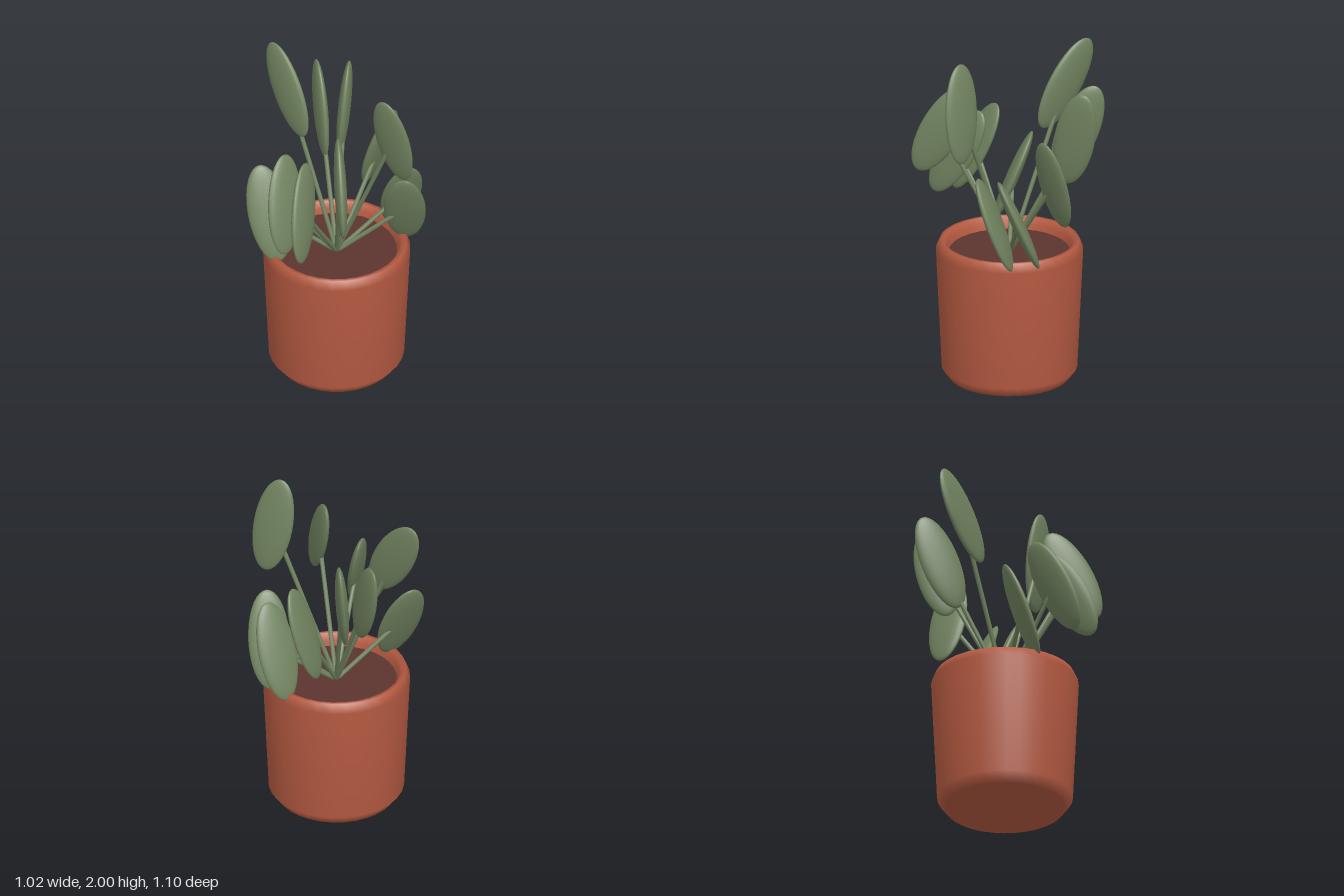
import * as THREE from 'three';

const material = (color) => new THREE.MeshStandardMaterial({ color });

const POT = material(0xb55a41);
const SOIL = material(0x5c352e);
const LEAF = material(0x70825f);

const SOIL_Y = 0.77;
const LEAF_COUNT = 11;
const GOLDEN_ANGLE = 2.4;
const LEAF_REACH = 0.394;
const LEAF_TILT = 0.41;

function add(parent, name, geometry, mat) {
  const mesh = new THREE.Mesh(geometry, mat);
  mesh.name = name;
  parent.add(mesh);
  return mesh;
}

// Straight round stem between two points
function addStem(parent, from, to, radius) {
  const dir = to.clone().sub(from);
  const stem = add(parent, 'stem', new THREE.CylinderGeometry(radius, radius, dir.length(), 10), LEAF);
  stem.position.copy(from).addScaledVector(dir, 0.5);
  stem.quaternion.setFromUnitVectors(new THREE.Vector3(0, 1, 0), dir.normalize());
}

export function createModel() {
  const plant = new THREE.Group();
  plant.name = 'pottedPlant';

  // Pot: chamfered foot, tapered wall, rounded rim and short inner wall
  const profile = [
    [0, 0], [0.345, 0], [0.392, 0.062], [0.426, 0.785], [0.402, 0.838],
    [0.378, 0.838], [0.357, 0.8], [0.345, 0.74],
  ].map(([r, y]) => new THREE.Vector2(r, y));
  add(plant, 'pot', new THREE.LatheGeometry(profile, 32), POT);

  // Soil disc inside the pot
  const soil = add(plant, 'soil', new THREE.CylinderGeometry(0.349, 0.335, 0.06, 32), SOIL);
  soil.position.y = SOIL_Y - 0.03;

  // Leaves spiral by the golden angle and cycle through four heights
  const root = new THREE.Vector3(0, SOIL_Y - 0.01, 0);
  const leafGeometry = new THREE.SphereGeometry(1, 24, 18).scale(0.121, 0.293, 0.036);
  for (let i = 0; i < LEAF_COUNT; i++) {
    const angle = i * GOLDEN_ANGLE;
    const c = Math.cos(angle), s = Math.sin(angle);
    const center = new THREE.Vector3(c * LEAF_REACH, 1.072 + 0.2145 * (i % 4), s * LEAF_REACH);

    const sprout = new THREE.Group();
    sprout.name = 'sprout';
    plant.add(sprout);
    addStem(sprout, root, center, 0.013);
    const leaf = add(sprout, 'leaf', leafGeometry, LEAF);
    leaf.position.copy(center);
    leaf.rotation.set(c * LEAF_TILT, -angle, s * LEAF_TILT);
  }
  return plant;
}
